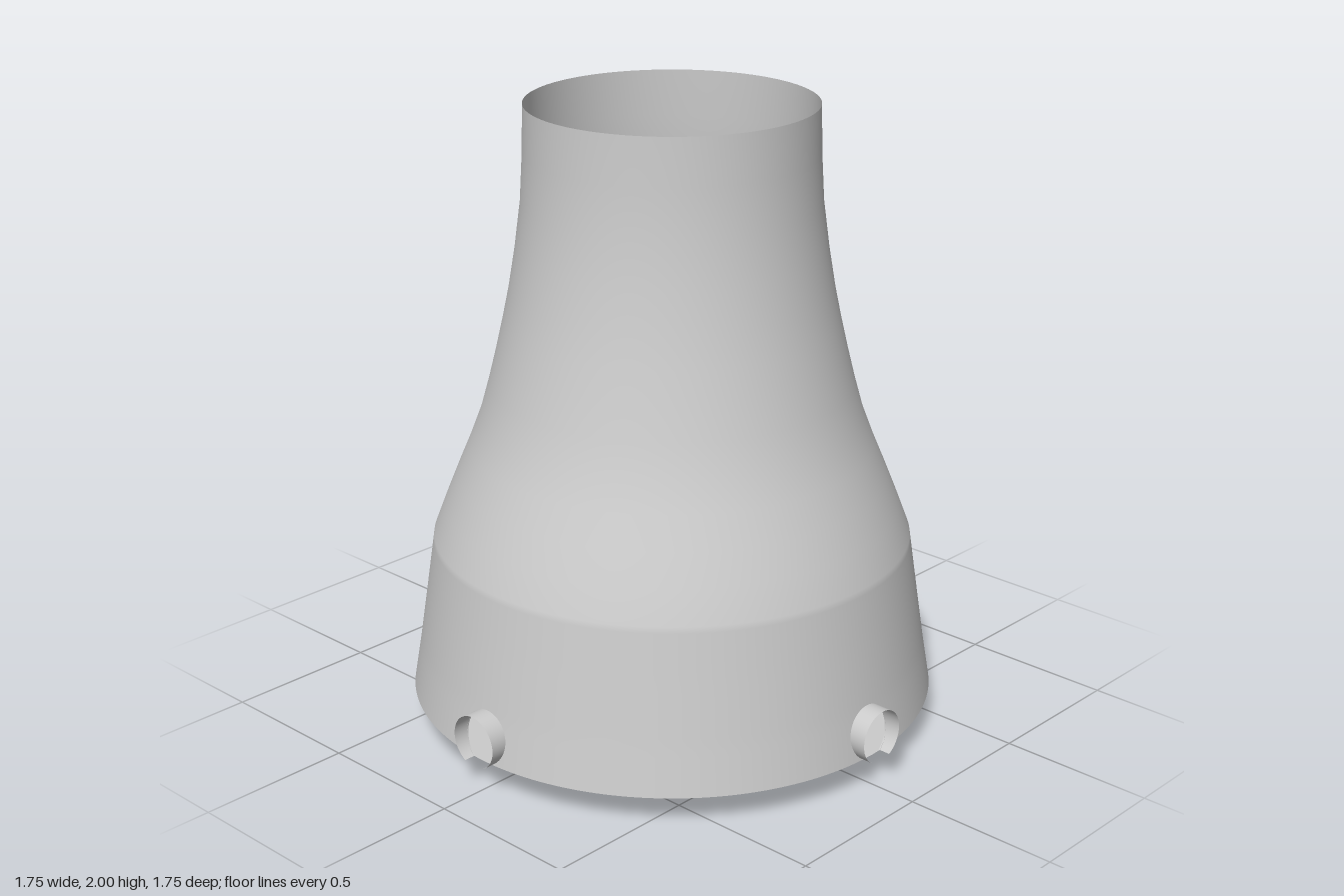
import * as THREE from 'three';

const FLOOR = 0.1;
// Tower profile as [height, radius]
const profile = [[0.1, 0.84], [0.25, 0.815], [0.45, 0.785], [0.62, 0.76], [0.72, 0.722], [0.82, 0.682], [0.92, 0.64],
  [1.02, 0.602], [1.12, 0.574], [1.22, 0.549], [1.32, 0.526], [1.42, 0.505], [1.55, 0.483], [1.7, 0.463], [1.85, 0.454], [2, 0.45]];
// Pipe openings: angle around y (0 = front), centre height, radius
const ports = [
  { name: 'frontPort', a: 0, y: 0.175, r: 0.085 },
  { name: 'leftPort', a: Math.PI / 2, y: 0.175, r: 0.085 },
  { name: 'rightPort', a: -Math.PI / 2, y: 0.175, r: 0.085 },
  { name: 'backPort', a: Math.PI, y: 0.265, r: 0.235 },
];

function radiusAt(y) {
  for (let i = 1; i < profile.length; i++) {
    const [y0, r0] = profile[i - 1], [y1, r1] = profile[i];
    if (y <= y1) return r0 + (r1 - r0) * (y - y0) / (y1 - y0);
  }
  return profile[profile.length - 1][1];
}

function seeded(seed) {
  return () => ((seed = (seed * 16807) % 2147483647) - 1) / 2147483646;
}

// Smooth wall of revolution; grid points inside an opening slide onto its rim
function wallGeometry() {
  const SEG = 256, rows = [];
  for (let i = 0; i <= 26; i++) rows.push(FLOOR + i * 0.02);
  for (const [y] of profile) if (y > 0.63) rows.push(y);
  const pos = [], inside = [], index = [];
  for (const y0 of rows) {
    for (let j = 0; j < SEG; j++) {
      let t = j / SEG * Math.PI * 2, y = y0, hit = false;
      for (const p of ports) {
        const dx = Math.sin(t - p.a) * radiusAt(y), dy = y - p.y, d = Math.hypot(dx, dy);
        if (Math.cos(t - p.a) < 0 || d > p.r) continue;
        hit = true;
        let nx;
        if (dy > 0) {
          nx = dx * p.r / d;
          y = p.y + dy * p.r / d;
        } else nx = (dx < 0 ? -1 : 1) * Math.sqrt(p.r * p.r - dy * dy);
        t = p.a + Math.asin(nx / radiusAt(y));
        break;
      }
      inside.push(hit);
      pos.push(Math.sin(t) * radiusAt(y), y, Math.cos(t) * radiusAt(y));
    }
  }
  const tri = (a, b, c) => { if (!(inside[a] && inside[b] && inside[c])) index.push(a, b, c); };
  for (let i = 0; i < rows.length - 1; i++) {
    for (let j = 0; j < SEG; j++) {
      const a = i * SEG + j, b = i * SEG + (j + 1) % SEG;
      tri(a, b, b + SEG);
      tri(a, b + SEG, a + SEG);
    }
  }
  const g = new THREE.BufferGeometry();
  g.setAttribute('position', new THREE.Float32BufferAttribute(pos, 3));
  g.setIndex(index);
  g.computeVertexNormals();
  return g;
}

// Short open collar whose inner edge follows the wall, cut off at the floor
function collarGeometry({ y: cy, r }) {
  const cut = cy - r < FLOOR ? Math.acos((cy - FLOOR) / r) : 0;
  const g = new THREE.CylinderGeometry(r, r, 1, 48, 1, true, cut, Math.PI * 2 - 2 * cut);
  g.rotateX(Math.PI / 2);
  const p = g.attributes.position;
  // the cylinder starts at the lowest point
  for (let i = 0; i < p.count; i++) {
    const x = p.getX(i), y = Math.max(FLOOR, cy + p.getY(i));
    const inner = Math.sqrt(radiusAt(y) ** 2 - x * x) - 0.005;
    p.setXYZ(i, x, y, p.getZ(i) > 0 ? 0.875 : inner);
  }
  g.computeVertexNormals();
  return g;
}

// Chip a unit ball with random planes, then lean it
function chip(g, seed, cuts, leanX, leanZ) {
  const rnd = seeded(seed), planes = [], v = new THREE.Vector3();
  for (let i = 0; i < cuts; i++) {
    const n = new THREE.Vector3(rnd() - 0.5, rnd() - 0.5, rnd() - 0.5).normalize();
    planes.push([n, 0.74 + rnd() * 0.18]);
  }
  const p = g.attributes.position;
  for (let i = 0; i < p.count; i++) {
    v.fromBufferAttribute(p, i).normalize();
    let r = 1;
    for (const [n, d] of planes) {
      const c = v.dot(n);
      if (c > 0) r = Math.min(r, d / c);
    }
    r *= 1 + 0.03 * Math.sin(v.x * 9 + seed) * Math.sin(v.y * 11) + 0.025 * Math.sin(v.z * 13 + v.y * 7);
    v.multiplyScalar(r);
    p.setXYZ(i, v.x + leanX * v.y, v.y, v.z + leanZ * v.y);
  }
  return g;
}

// Scale and move a geometry to fill a box
function fit(g, min, max) {
  g.computeBoundingBox();
  const b = g.boundingBox, lo = b.min.toArray(), size = b.getSize(new THREE.Vector3()).toArray();
  const s = size.map((d, i) => (max[i] - min[i]) / d);
  g.translate(-lo[0], -lo[1], -lo[2]).scale(...s).translate(...min);
  g.computeVertexNormals();
  return g;
}

export function createModel() {
  const model = new THREE.Group();
  const smooth = new THREE.MeshStandardMaterial({ color: 0xcccccc, side: THREE.DoubleSide });
  const faceted = new THREE.MeshStandardMaterial({ color: 0xcccccc, flatShading: true, side: THREE.DoubleSide });
  const add = (name, geometry, material) => {
    const mesh = new THREE.Mesh(geometry, material);
    mesh.name = name;
    model.add(mesh);
    return mesh;
  };

  // Tower shell and floor
  add('towerWall', wallGeometry(), smooth);
  add('floor', new THREE.CircleGeometry(0.84, 96).rotateX(-Math.PI / 2).translate(0, FLOOR, 0), smooth);

  // Pipe collars around the base
  for (const port of ports) add(port.name, collarGeometry(port), smooth).rotation.y = port.a;

  // Boulders leaning on the outside of the wall
  const boulders = [
    ['largeBoulder', 11, [-0.79, 0.16, -0.75], [-0.33, 1.18, -0.26], 0.35, 0.2],
    ['backBoulder', 23, [-0.48, 0.32, -0.77], [-0.26, 0.88, -0.56], 0.1, 0.3],
    ['sideBoulder', 37, [-0.81, 0.32, -0.36], [-0.63, 0.85, -0.13], 0.3, 0.1],
  ];
  for (const [name, seed, min, max, lx, lz] of boulders) {
    add(name, fit(chip(new THREE.IcosahedronGeometry(1, 6), seed, 22, lx, lz), min, max), faceted);
  }

  // Hollow rock inside, with a ragged rim poking through the floor
  const inner = chip(new THREE.SphereGeometry(1, 26, 10, 0, Math.PI * 2, 0, Math.PI / 2), 51, 18, 0.25, -0.3);
  fit(inner, [-0.68, 0.06, -0.57], [0.03, 0.62, 0.05]);
  const p = inner.attributes.position, rnd = seeded(77);
  const drops = Array.from({ length: 26 }, () => 0.01 + rnd() * 0.06);
  drops[0] = 0;
  for (let i = 0; i <= 26; i++) p.setY(p.count - 27 + i, drops[i % 26]);
  inner.computeVertexNormals();
  add('innerRock', inner, faceted);

  return model;
}
